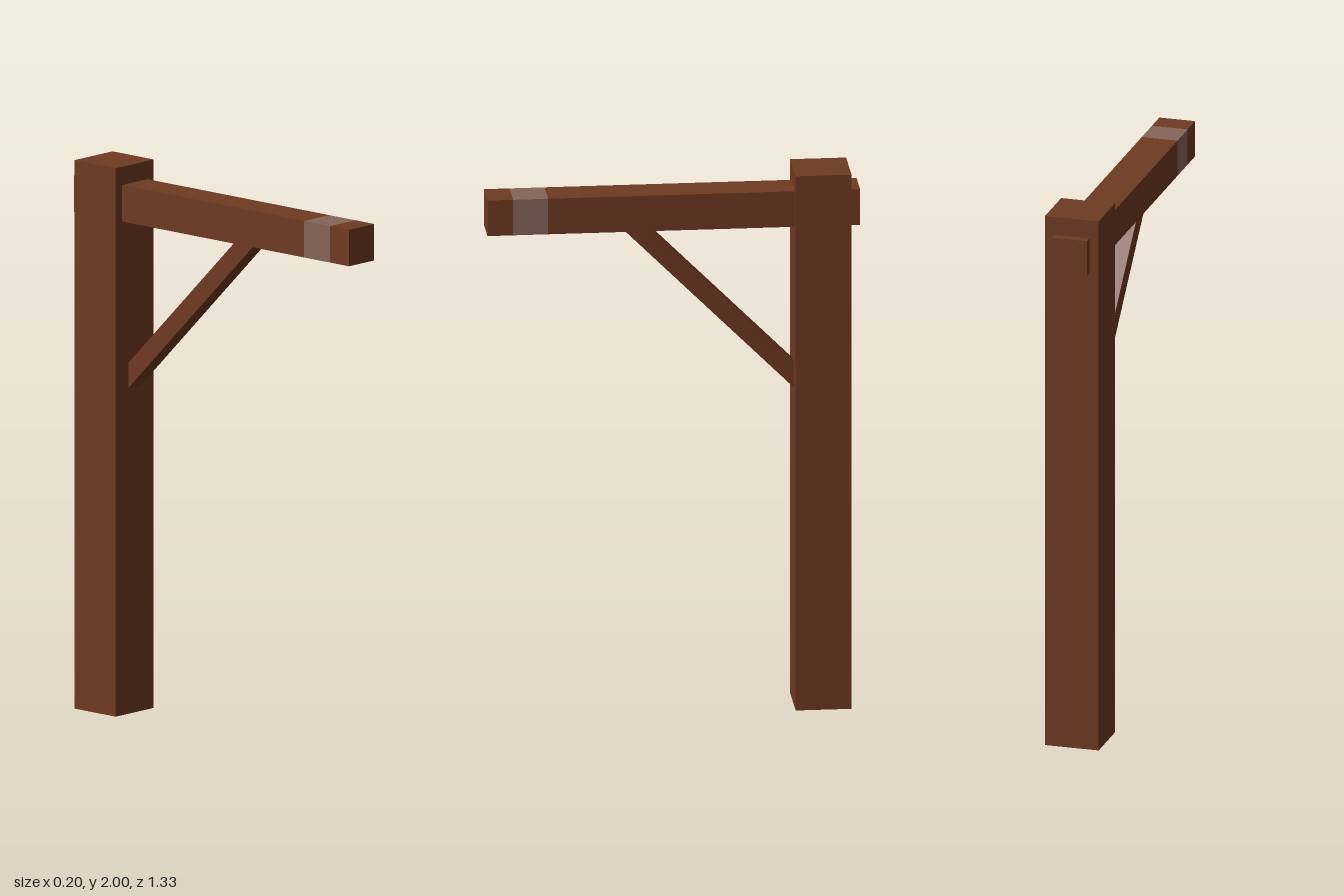
import * as THREE from 'three';

export function createModel() {
  const wood = new THREE.MeshStandardMaterial({ color: 0x6f3a22 });
  wood.name = 'brown wood';
  const pale = new THREE.MeshStandardMaterial({ color: 0x86655a });
  pale.name = 'pale band';

  const model = new THREE.Group();
  model.name = 'hangingPost';

  const addBox = (parent, name, material, size, position) => {
    const mesh = new THREE.Mesh(new THREE.BoxGeometry(...size), material);
    mesh.name = name;
    mesh.position.set(...position);
    parent.add(mesh);
    return mesh;
  };

  // Upright post
  addBox(model, 'post', wood, [0.2, 2, 0.2], [0, 1, -0.533]);

  // Crossbeam through the post, with a flush band near its free end
  const beam = new THREE.Group();
  beam.name = 'beam';
  model.add(beam);
  const addSection = (name, material, z0, z1) =>
    addBox(beam, name, material, [0.133, 0.133, z1 - z0], [0, 1.867, (z0 + z1) / 2]);
  addSection('beamShaft', wood, -0.667, 0.45);
  addSection('beamBand', pale, 0.45, 0.575);
  addSection('beamTip', wood, 0.575, 0.667);

  // Diagonal brace, its ends buried in the post and beam
  const brace = addBox(model, 'brace', wood, [0.067, 0.065, 0.976], [0, 1.512, -0.155]);
  brace.rotation.x = -Math.PI / 4;

  return model;
}
